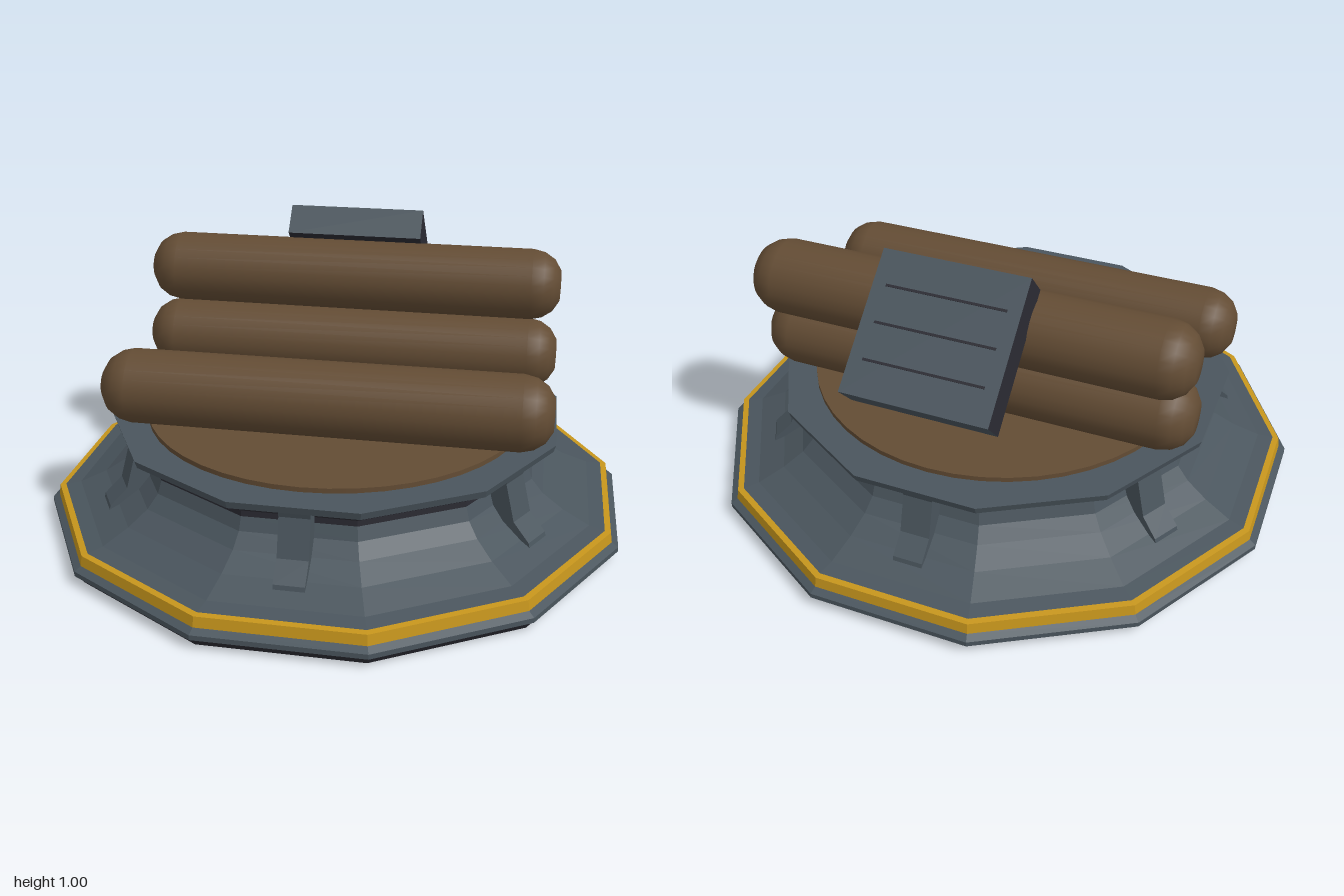
import * as THREE from 'three';

const makeMaterial = (name, color) => {
  const m = new THREE.MeshStandardMaterial({ color });
  m.name = name;
  return m;
};

export function createModel() {
  const slate = makeMaterial('slate metal', 0x4a555d);
  const dark = makeMaterial('dark metal', 0x2b2b33);
  const gold = makeMaterial('gold trim', 0xc6951c);
  const brown = makeMaterial('brown leather', 0x634c34);
  const root = new THREE.Group();
  root.name = 'roundBaseWithRolls';

  const add = (name, geometry, material, parent = root) => {
    const mesh = new THREE.Mesh(geometry, material);
    mesh.name = name;
    parent.add(mesh);
    return mesh;
  };

  // Twelve-sided ring; radii are measured to the middle of each flat side
  const SIDES = 12;
  const facetedRing = (profile) => {
    const points = profile.map(([r, y]) => new THREE.Vector2(r / Math.cos(Math.PI / SIDES), y));
    const g = new THREE.LatheGeometry(points, SIDES, Math.PI / SIDES).toNonIndexed();
    g.computeVertexNormals();
    return g;
  };

  // Base, from the ground up
  add('baseFoot', facetedRing([[0, 0], [0.97, 0], [0.985, 0.025]]), dark);
  add('baseLip', facetedRing([[0.985, 0.025], [1, 0.035], [1, 0.052], [0.978, 0.065], [0.95, 0.066]]), slate);
  add('goldBand', facetedRing([[0.95, 0.065], [0.978, 0.065], [0.972, 0.1], [0.95, 0.102]]), gold);
  add('baseSkirt', facetedRing([
    [0.952, 0.102], [0.9, 0.11], [0.81, 0.15], [0.74, 0.195], [0.7, 0.24], [0.685, 0.285],
  ]), slate);
  add('shadowGap', facetedRing([[0.685, 0.285], [0.685, 0.305], [0.7, 0.328]]), dark);
  add('topRim', facetedRing([[0.7, 0.328], [0.765, 0.355], [0.772, 0.38], [0.62, 0.38]]), slate);

  // Six ribs that brace the rim
  const ribShape = new THREE.Shape([
    [0.62, 0.12], [0.845, 0.13], [0.84, 0.15], [0.78, 0.205], [0.745, 0.33], [0.755, 0.36], [0.62, 0.36],
  ].map(([r, y]) => new THREE.Vector2(r, y)));
  const ribGeometry = new THREE.ExtrudeGeometry(ribShape, { depth: 0.1, bevelEnabled: false });
  ribGeometry.translate(0, 0, -0.05);
  ribGeometry.rotateY(-Math.PI / 2);
  for (let i = 0; i < 6; i++) {
    add('rib', ribGeometry, slate).rotation.y = (i * Math.PI) / 3;
  }

  // Round padded deck
  const deck = new THREE.CylinderGeometry(0.672, 0.672, 0.035, 48);
  add('deck', deck, brown).position.y = 0.379;

  // Rounded rolls lying along x
  const halfProfile = [[0, 0.76], [0.055, 0.758], [0.094, 0.734], [0.118, 0.698], [0.128, 0.655]];
  const rollProfile = [
    ...halfProfile.map(([r, y]) => new THREE.Vector2(r, -y)),
    ...halfProfile.slice().reverse().map(([r, y]) => new THREE.Vector2(r, y)),
  ];
  const rollGeometry = new THREE.LatheGeometry(rollProfile, 24);
  rollGeometry.rotateZ(Math.PI / 2);
  for (const [name, y, z] of [
    ['frontRoll', 0.52, 0.275], ['lowerBackRoll', 0.52, -0.268], ['upperBackRoll', 0.763, -0.328],
  ]) {
    add(name, rollGeometry, brown).position.set(0, y, z);
  }

  // Tilted panel leaning over the back
  const panel = new THREE.Group();
  panel.name = 'backPanel';
  panel.position.set(0, 0.8, -0.54);
  panel.rotation.x = -0.725;
  root.add(panel);
  add('panelBody', new THREE.BoxGeometry(0.49, 0.115, 0.47), [dark, dark, slate, dark, slate, slate], panel);
  for (const z of [-0.12, 0, 0.12]) {
    add('panelSlot', new THREE.BoxGeometry(0.4, 0.004, 0.008), dark, panel).position.set(0, 0.058, z);
  }
  return root;
}
